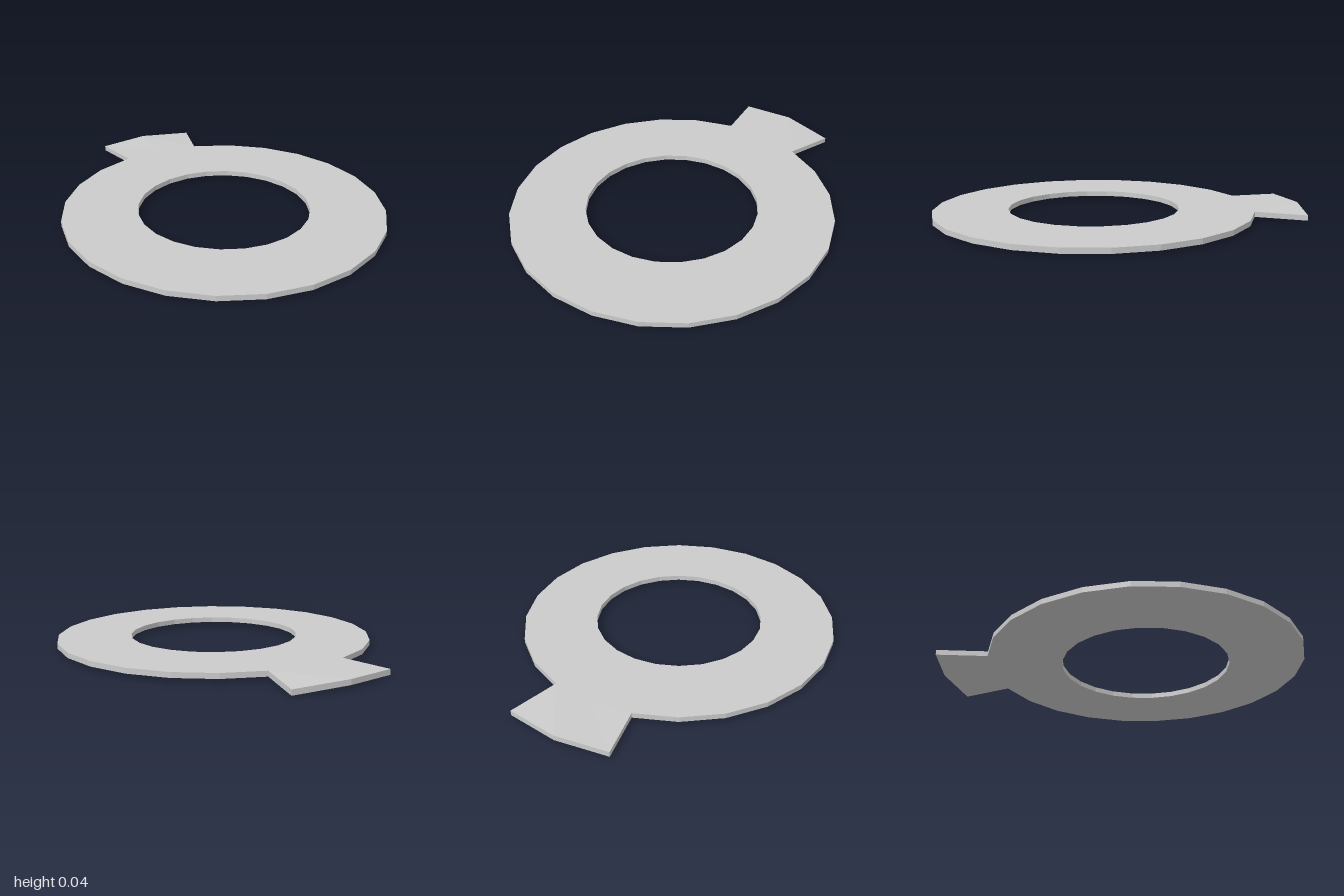
import * as THREE from 'three';

const SIDES = 24, CENTRE_Z = 0.134, TOP = 0.04, THICK = 0.028;
const OUTER = 0.861, INNER = 0.46;

// Point on a circle, running clockwise from the back as seen from above
function ringPoint(radius, i) {
  const a = (i / SIDES) * Math.PI * 2;
  return new THREE.Vector3(radius * Math.sin(a), TOP, CENTRE_Z - radius * Math.cos(a));
}

// Slab cell: four top corners, counter-clockwise from above, with walls on the listed edges
function addCell(positions, corners, walls) {
  const low = corners.map(p => new THREE.Vector3(p.x, p.y - THICK, p.z));
  const quad = (a, b, c, d) => {
    for (const p of [a, b, c, a, c, d]) positions.push(p.x, p.y, p.z);
  };
  quad(...corners);
  quad(low[3], low[2], low[1], low[0]);
  for (const e of walls) {
    const n = (e + 1) % 4;
    quad(low[e], low[n], corners[n], corners[e]);
  }
}

function makeMesh(name, positions, material) {
  const geometry = new THREE.BufferGeometry();
  geometry.setAttribute('position', new THREE.Float32BufferAttribute(positions, 3));
  geometry.computeVertexNormals();
  const mesh = new THREE.Mesh(geometry, material);
  mesh.name = name;
  return mesh;
}

export function createModel() {
  const group = new THREE.Group();
  group.name = 'tabbedWasher';
  const material = new THREE.MeshStandardMaterial({ color: 0xcccccc, flatShading: true });

  // Flat ring; the rim is left open where the tab joins
  const ring = [];
  for (let i = 0; i < SIDES; i++) {
    addCell(ring, [ringPoint(OUTER, i), ringPoint(INNER, i), ringPoint(INNER, i + 1), ringPoint(OUTER, i + 1)],
      i < 2 ? [1] : [1, 3]);
  }
  group.add(makeMesh('ring', ring, material));

  // Flared tab, its outer corners bent slightly down
  const tip = [
    new THREE.Vector3(0.014, TOP - 0.005, -1.0),
    new THREE.Vector3(0.295, TOP, -0.97),
    new THREE.Vector3(0.566, TOP - 0.012, -0.85),
  ];
  const tab = [];
  for (let i = 0; i < 2; i++) {
    addCell(tab, [tip[i], ringPoint(OUTER, i), ringPoint(OUTER, i + 1), tip[i + 1]], i === 0 ? [0, 3] : [2, 3]);
  }
  group.add(makeMesh('tab', tab, material));

  return group;
}
